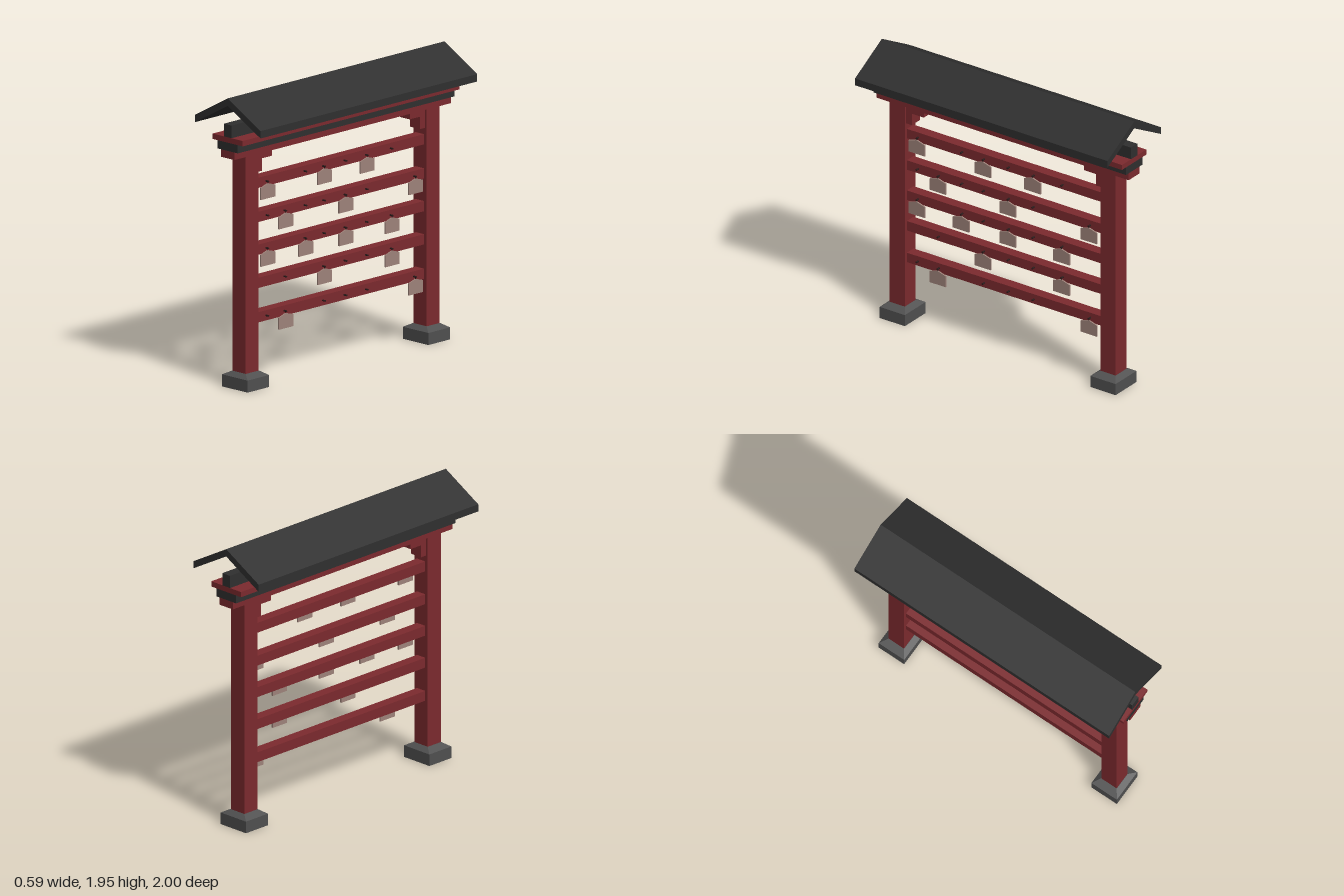
import * as THREE from 'three';

const paint = (color) => new THREE.MeshStandardMaterial({ color, flatShading: true });
const red = paint(0x7c2a2e);
const dark = paint(0x2f2f2f);
const stone = paint(0x505050);
const wood = paint(0x9e837a);
const iron = paint(0x2a1a1a);

// Box given by its size, its bottom height and its centre in x and z
function box(name, material, w, h, d, bottom, z = 0, x = 0) {
  const mesh = new THREE.Mesh(new THREE.BoxGeometry(w, h, d), material);
  mesh.position.set(x, bottom + h / 2, z);
  mesh.name = name;
  return mesh;
}

// Outline extruded to a depth, centred along z
function slab(name, material, points, depth) {
  const shape = new THREE.Shape(points.map(([x, y]) => new THREE.Vector2(x, y)));
  const geometry = new THREE.ExtrudeGeometry(shape, { depth, bevelEnabled: false });
  geometry.translate(0, 0, -depth / 2);
  const mesh = new THREE.Mesh(geometry, material);
  mesh.name = name;
  return mesh;
}

// Post on a bevelled stone foot, with a stepped bracket on its inner side
function postAssembly(side) {
  const group = new THREE.Group();
  group.name = side > 0 ? 'frontPost' : 'backPost';
  const z = side * 0.835;
  group.add(box('post', red, 0.12, 1.47, 0.12, 0.08, z));
  group.add(box('foot', stone, 0.23, 0.08, 0.2, 0, z));

  // Sloped top of the foot: a box with its upper corners drawn in
  const cap = box('footBevel', stone, 0.23, 0.027, 0.2, 0.08, z);
  const p = cap.geometry.attributes.position;
  for (let i = 0; i < p.count; i++) {
    if (p.getY(i) > 0) p.setXYZ(i, Math.sign(p.getX(i)) * 0.062, p.getY(i), Math.sign(p.getZ(i)) * 0.062);
  }
  cap.geometry.computeVertexNormals();
  group.add(cap);

  group.add(box('upperBracket', red, 0.09, 0.042, 0.14, 1.508, side * 0.705));
  group.add(box('lowerBracket', red, 0.09, 0.085, 0.045, 1.425, side * 0.7525));
  return group;
}

// Small gabled wooden plaque facing +x
function plaque(y, z) {
  const mesh = slab('plaque', wood, [
    [-0.065, -0.112], [0.065, -0.112], [0.065, -0.033], [0, -0.013], [-0.065, -0.033],
  ], 0.01);
  mesh.rotation.y = Math.PI / 2;
  mesh.position.set(0.052, y, z);
  return mesh;
}

function peg(y, z) {
  const mesh = new THREE.Mesh(new THREE.CylinderGeometry(0.006, 0.006, 0.03, 8), iron);
  mesh.rotation.z = Math.PI / 2;
  mesh.position.set(0.046, y, z);
  mesh.name = 'peg';
  return mesh;
}

// Thin cord from a peg down to its plaque
const cord = (y, z) => box('cord', iron, 0.004, 0.018, 0.004, y - 0.018, z, 0.053);

export function createModel() {
  const model = new THREE.Group();
  model.name = 'plaqueRack';

  model.add(postAssembly(1), postAssembly(-1));

  // Stacked beams across the posts
  model.add(box('tieBeam', red, 0.12, 0.05, 2, 1.55));
  model.add(box('darkBeam', dark, 0.18, 0.055, 2, 1.6));
  model.add(box('topPlate', red, 0.27, 0.036, 2, 1.655));
  model.add(box('ridgeBeam', dark, 0.07, 0.084, 2, 1.691));

  // Gabled roof
  model.add(slab('roof', dark, [
    [-0.295, 1.737], [0, 1.9], [0.295, 1.737], [0.295, 1.786], [0, 1.95], [-0.295, 1.786],
  ], 2));

  // Rails: height, the slots with pegs, and the slots with plaques
  const slots = [0.684, 0.518, 0.333, 0.16, -0.037, -0.234, -0.463, -0.68];
  const rails = [
    { y: 1.348, pegs: [0, 2, 3, 4, 5, 6], plaques: [0, 3, 5] },
    { y: 1.121, pegs: [0, 1, 2, 3, 4, 5, 7], plaques: [1, 4, 7] },
    { y: 0.903, pegs: [0, 2, 3, 4, 5, 6], plaques: [0, 2, 4, 6] },
    { y: 0.682, pegs: [1, 3, 4, 5, 6], plaques: [3, 6] },
    { y: 0.453, pegs: [0, 1, 3, 4, 5, 7], plaques: [1, 7] },
  ];
  for (const { y, pegs, plaques } of rails) {
    const group = new THREE.Group();
    group.name = 'railWithPlaques';
    group.add(box('rail', red, 0.074, 0.068, 1.57, y - 0.034));
    for (const i of pegs) group.add(peg(y, slots[i]));
    for (const i of plaques) group.add(plaque(y, slots[i]), cord(y, slots[i]));
    model.add(group);
  }
  return model;
}
